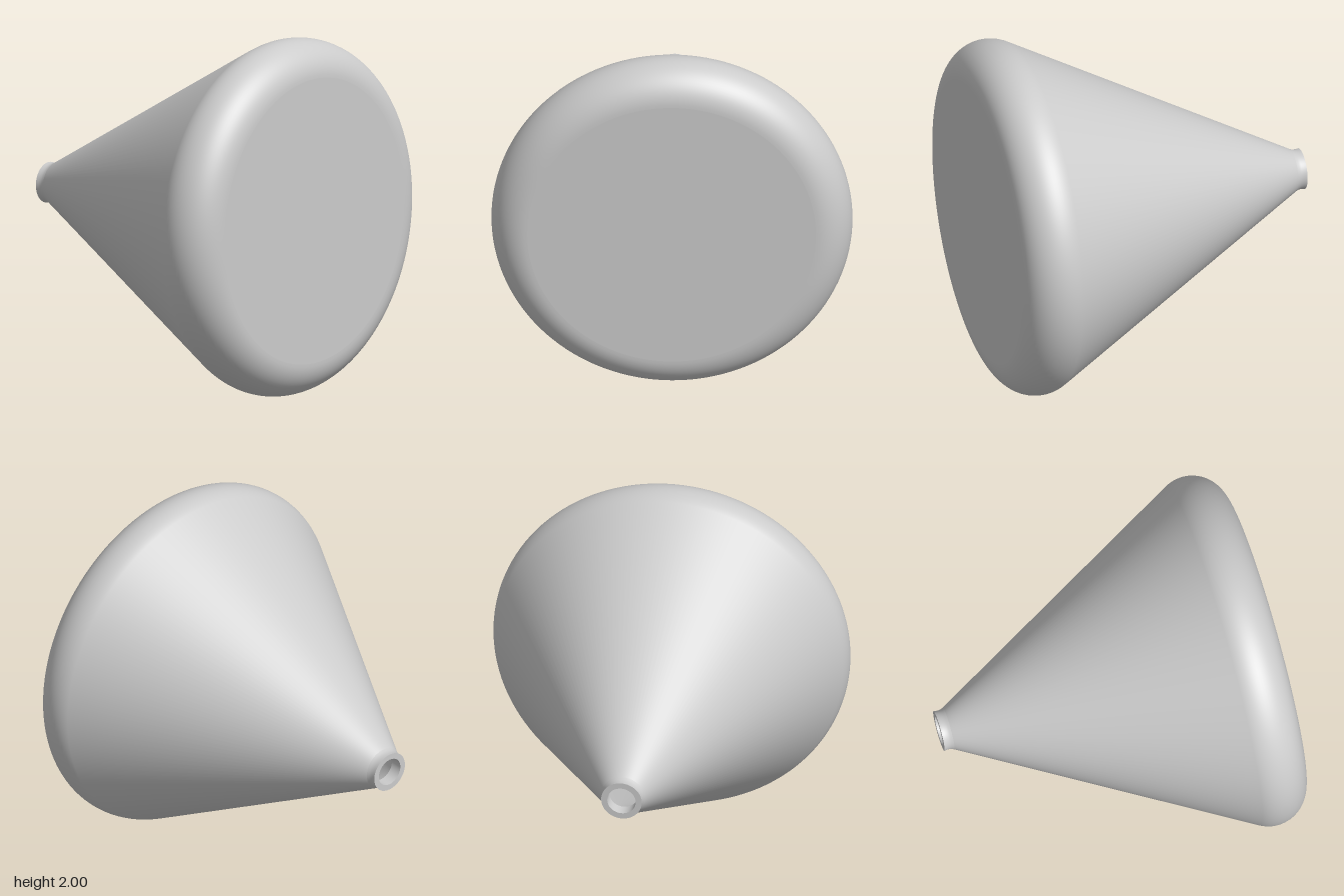
import * as THREE from 'three';

const material = new THREE.MeshStandardMaterial({ color: 0xcccccc });
const SEGMENTS = 128;
const CONE_ANGLE = 0.51; // half-angle of the cone wall

// Revolve [radius, height] pairs; height runs from the base (+z) to the neck (-z).
function revolve(name, profile) {
  const points = profile.map(([r, h]) => new THREE.Vector2(r, h));
  const geometry = new THREE.LatheGeometry(points, SEGMENTS);
  geometry.rotateX(-Math.PI / 2);
  const mesh = new THREE.Mesh(geometry, material);
  mesh.name = name;
  return mesh;
}

// Rounded base corner, from flat underside to the tangent of the cone.
function corner(radius, height, fillet, steps = 24) {
  return Array.from({ length: steps + 1 }, (_, i) => {
    const a = THREE.MathUtils.lerp(-Math.PI / 2, CONE_ANGLE, i / steps);
    return [radius + fillet * Math.cos(a), height + fillet * Math.sin(a)];
  });
}

export function createModel() {
  const model = new THREE.Group();
  model.name = 'conicalFlask';

  // Flat round base facing the front
  const base = new THREE.Mesh(new THREE.CircleGeometry(0.8, SEGMENTS), material);
  base.name = 'base';
  base.position.z = 0.94;

  // Outer shell: rounded corner and straight cone
  const body = revolve('body', [...corner(0.8, -0.74, 0.2), [0.12, 0.885]]);

  // Short neck, slightly waisted where it leaves the cone
  const neck = revolve('neck', [
    [0.12, 0.885], [0.115, 0.897], [0.112, 0.91], [0.112, 0.925], [0.114, 0.94],
  ]);

  // Flat ring around the mouth
  const rim = revolve('rim', [[0.114, 0.94], [0.08, 0.94]]);

  // Hollow interior, facing inward
  const bore = revolve('bore', [[0.08, 0.94], [0.08, 0.87]]);
  const inside = revolve('innerWall', [
    [0.08, 0.87], ...corner(0.8, -0.74, 0.16).reverse(), [0, -0.9],
  ]);

  model.add(base, body, neck, rim, bore, inside);
  model.position.y = 1;
  const root = new THREE.Group();
  root.add(model);
  return root;
}
